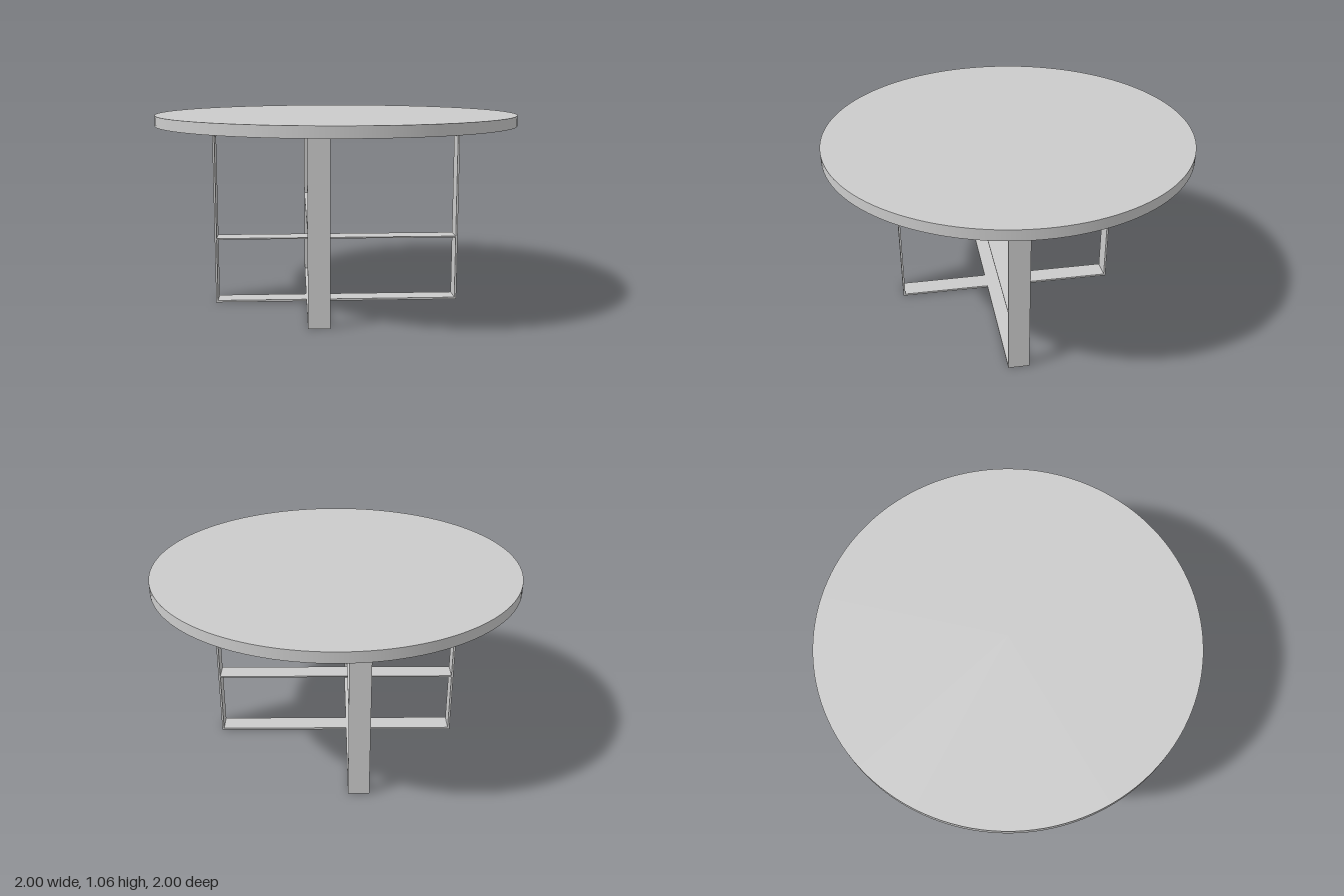
import * as THREE from 'three';

const material = new THREE.MeshStandardMaterial({ color: 0xcccccc });
const HEIGHT = 1.0;   // underside of the table top
const WIDTH = 0.114;  // width of the flat bar
const BAR = 0.011;    // thickness of the flat bar

function addMesh(parent, name, geometry, x = 0, y = 0, z = 0) {
  const mesh = new THREE.Mesh(geometry, material);
  mesh.name = name;
  mesh.position.set(x, y, z);
  parent.add(mesh);
  return mesh;
}

function polygon(points) {
  return new THREE.Shape(points.map(([x, y]) => new THREE.Vector2(x, y)));
}

// Extrudes a shape and centres it across its depth
function plate(shape, depth) {
  return new THREE.ExtrudeGeometry(shape, { depth, bevelEnabled: false })
    .translate(0, 0, -depth / 2);
}

// Rectangular flat-bar loop with a crossbar and two corner gussets
function createFrame(name, half, barY, barThickness) {
  const frame = new THREE.Group();
  frame.name = name;

  const inner = half - BAR;
  const top = HEIGHT - BAR;
  const loop = polygon([[-half, 0], [half, 0], [half, HEIGHT], [-half, HEIGHT]]);
  loop.holes.push(polygon([[-inner, BAR], [-inner, top], [inner, top], [inner, BAR]]));
  addMesh(frame, 'legLoop', plate(loop, WIDTH));

  addMesh(frame, 'crossbar', new THREE.BoxGeometry(inner * 2, barThickness, WIDTH), 0, barY, 0);

  const size = 0.058;
  for (const side of [-1, 1]) {
    const corner = polygon([
      [side * inner, top], [side * (inner - size), top], [side * inner, top - size],
    ]);
    addMesh(frame, 'cornerGusset', plate(corner, BAR));
  }
  return frame;
}

export function createModel() {
  const table = new THREE.Group();
  table.name = 'roundTable';

  // Round top
  const thickness = 0.058;
  addMesh(table, 'tableTop', new THREE.CylinderGeometry(1, 1, thickness, 128), 0, HEIGHT + thickness / 2, 0);

  // Two crossing frames, each set off from the centre
  const wideFrame = createFrame('wideFrame', 0.685, 0.365, 0.007);
  wideFrame.position.z = 0.06;
  const deepFrame = createFrame('deepFrame', 0.626, 0.507, 0.011);
  deepFrame.rotation.y = Math.PI / 2;
  deepFrame.position.x = -0.117;
  table.add(wideFrame, deepFrame);

  return table;
}
